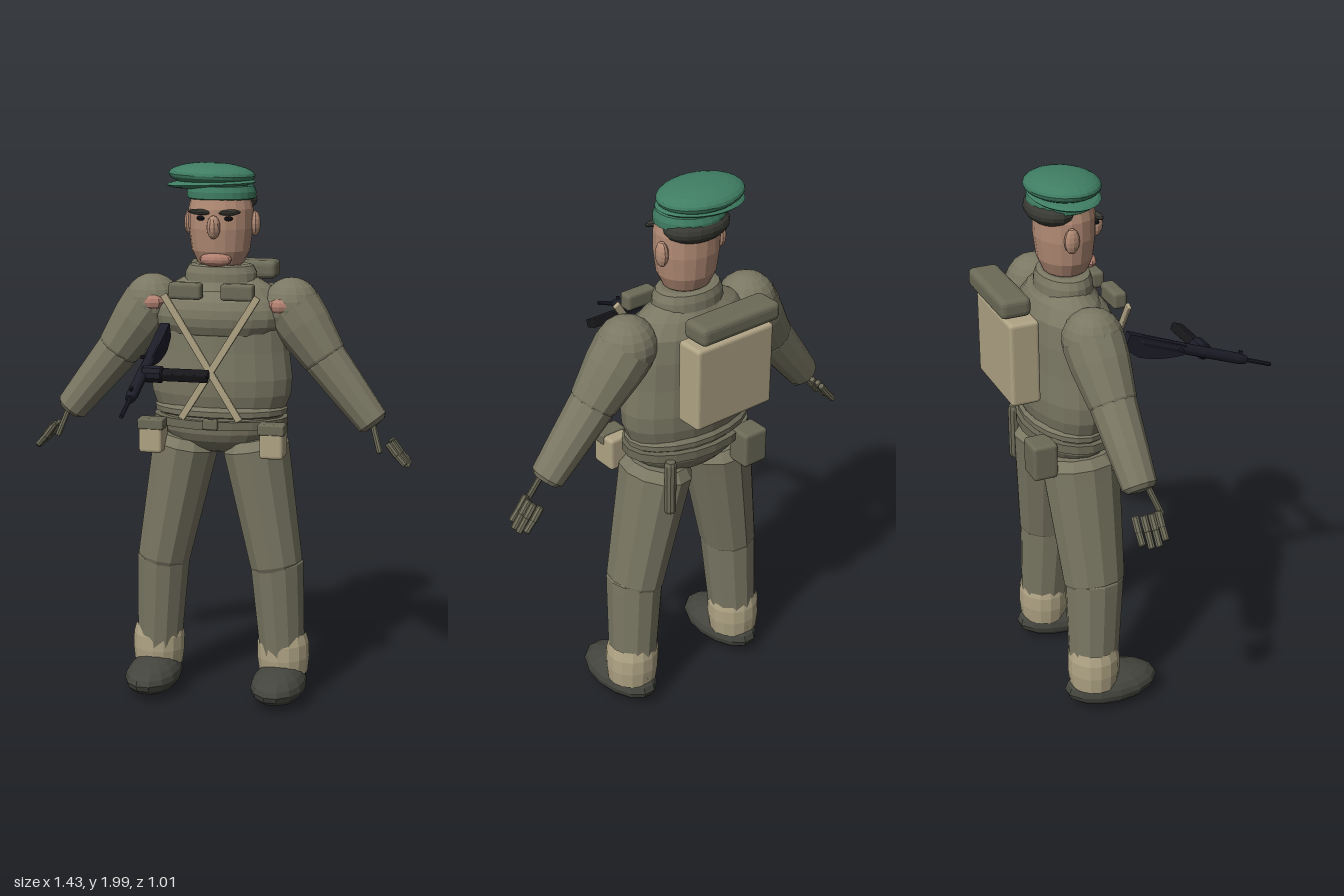
import * as THREE from 'three';
import { RoundedBoxGeometry } from 'three/addons/geometries/RoundedBoxGeometry.js';

const mat = (name, color) => {
  const m = new THREE.MeshStandardMaterial({ color, flatShading: true });
  m.name = name;
  return m;
};

export function createModel() {
  const root = new THREE.Group();
  root.name = 'soldier';
  const cloth = mat('olive cloth', 0x7a7763);
  const canvas = mat('dark olive canvas', 0x6c6a57);
  const beige = mat('beige webbing', 0xb0a485);
  const green = mat('green felt', 0x3f7d63);
  const skin = mat('skin', 0xb28b75);
  const lip = mat('pink skin', 0xb08070);
  const boot = mat('boot leather', 0x45453f);
  const dark = mat('dark hair', 0x3a3a35);
  const metal = mat('gun metal', 0x1d1d29);
  const black = mat('black', 0x17171b);

  const add = (name, geo, m, p = [0, 0, 0], parent = root) => {
    const mesh = new THREE.Mesh(geo, m);
    mesh.name = name;
    mesh.position.set(...p);
    parent.add(mesh);
    return mesh;
  };
  const ball = (name, m, p, r, w = 16, h = 12) =>
    add(name, new THREE.SphereGeometry(1, w, h).scale(...r), m, p);
  const box = (name, m, p, s, r = 0.012, parent = root) =>
    add(name, new RoundedBoxGeometry(...s, 2, r), m, p, parent);
  // Upright turned shape from [radius, height] pairs, flattened in depth
  const turned = (name, m, pts, depth, z, seg = 20) => {
    const g = new THREE.LatheGeometry(pts.map(q => new THREE.Vector2(...q)), seg);
    return add(name, g.scale(1, 1, depth), m, [0, 0, z]);
  };
  // Limb between two points from [radius, fraction of length] pairs
  const limb = (name, m, a, b, pts, seg = 12, parent = root) => {
    const A = new THREE.Vector3(...a), d = new THREE.Vector3(...b).sub(A);
    const len = d.length();
    const g = new THREE.LatheGeometry(pts.map(([r, t]) => new THREE.Vector2(r, t * len)), seg);
    const mesh = add(name, g, m, a, parent);
    mesh.quaternion.setFromUnitVectors(new THREE.Vector3(0, 1, 0), d.normalize());
    return mesh;
  };
  const rod = (name, m, a, b, r, seg = 8, parent = root) =>
    limb(name, m, a, b, [[0, 0], [r * 0.8, 0], [r, 0.06], [r, 0.94], [r * 0.8, 1], [0, 1]], seg, parent);

  // Torso, chest, pelvis and collar
  turned('torso', cloth, [[0, 1.04], [0.22, 1.05], [0.24, 1.11], [0.262, 1.17], [0.267, 1.23], [0.255, 1.33],
    [0.25, 1.43], [0.235, 1.51], [0.19, 1.56], [0.12, 1.6], [0, 1.61]], 0.56, -0.225);
  ball('chest', cloth, [0, 1.455, -0.19], [0.245, 0.118, 0.125], 20);
  ball('pelvis', cloth, [0, 1.06, -0.22], [0.225, 0.12, 0.14], 20);
  turned('collar', cloth, [[0.16, 1.55], [0.135, 1.58], [0.132, 1.61], [0.12, 1.635], [0.1, 1.64], [0, 1.63]], 0.72, -0.22);
  turned('jacketHem', cloth, [[0.22, 1.085], [0.247, 1.095], [0.25, 1.115], [0.235, 1.13]], 0.6, -0.225);

  // Belt with buckle
  turned('belt', canvas, [[0.22, 1.052], [0.252, 1.052], [0.252, 1.083], [0.22, 1.083]], 0.645, -0.22);
  box('buckle', canvas, [0, 1.075, -0.054], [0.055, 0.04, 0.02], 0.006);

  // Head
  turned('head', skin, [[0, 1.615], [0.05, 1.62], [0.085, 1.645], [0.106, 1.69], [0.117, 1.77], [0.117, 1.84],
    [0.1, 1.91], [0, 1.93]], 0.89, -0.213, 18);
  ball('nose', skin, [0, 1.78, -0.1], [0.025, 0.042, 0.027], 10, 8);
  ball('mouth', lip, [0, 1.662, -0.135], [0.06, 0.026, 0.03], 12, 8);
  ball('hair', dark, [0, 1.868, -0.262], [0.124, 0.055, 0.085]);

  // Peakless felt cap, leaning to one side
  turned('capBand', green, [[0.115, 1.872], [0.125, 1.877], [0.125, 1.9], [0.118, 1.92], [0, 1.93]], 0.9, -0.225, 24);
  ball('capFold', green, [-0.04, 1.926, -0.23], [0.165, 0.02, 0.117], 28, 8).rotation.z = 0.04;
  ball('capCrown', green, [-0.038, 1.957, -0.233], [0.158, 0.043, 0.125], 28, 14).rotation.z = -0.03;

  for (const s of [1, -1]) {
    // Face details
    ball('ear', skin, [s * 0.122, 1.785, -0.235], [0.02, 0.045, 0.027], 10, 8);
    ball('eye', black, [s * 0.05, 1.81, -0.119], [0.017, 0.009, 0.012], 8, 6);
    ball('eyebrow', dark, [s * 0.055, 1.832, -0.115], [0.042, 0.011, 0.016], 10, 6).rotation.z = s * 0.06;
    ball('shoulderPatch', lip, [s * 0.237, 1.5, -0.142], [0.043, 0.03, 0.03], 8, 6);

    // Arm: shoulder, sleeve and cuff
    const elbow = [s * 0.392, 1.305, -0.207];
    ball('shoulder', cloth, [s * 0.26, 1.49, -0.223], [0.106, 0.106, 0.105], 16, 12);
    limb('upperSleeve', cloth, [s * 0.265, 1.485, -0.223], elbow,
      [[0.106, 0], [0.102, 0.35], [0.083, 0.95], [0.07, 1.08], [0, 1.1]]);
    limb('foreSleeve', cloth, elbow, [s * 0.578, 1.075, -0.192],
      [[0, -0.15], [0.066, -0.13], [0.08, 0], [0.07, 0.5], [0.06, 0.95], [0.045, 1], [0, 1.02]]);

    // Thumb and four fingers
    rod('thumb', canvas, [s * 0.575, 1.08, -0.165], [s * 0.607, 0.985, -0.13], 0.011);
    for (let i = 0; i < 4; i++) {
      const z = -0.155 - i * 0.028, outer = i === 0 || i === 3;
      const k = outer ? 0.01 : 0, dx = outer ? -0.004 : 0.004;
      rod('fingerBase', canvas, [s * (0.635 + dx), 1.018, z], [s * (0.67 + dx), 0.972, z], 0.013);
      rod('fingerTip', canvas, [s * (0.664 + dx), 0.98, z], [s * (0.706 - k), 0.93 + k, z], 0.012);
    }

    // Leg: trouser thigh, shin, gaiter and boot
    limb('thigh', cloth, [s * 0.222, 0.5, -0.208], [s * 0.13, 0.99, -0.222],
      [[0, 0], [0.088, 0], [0.1, 0.06], [0.122, 0.85], [0.125, 0.95], [0.1, 1.02], [0, 1.03]]).geometry.scale(1, 1, 1.13);
    limb('shin', cloth, [s * 0.243, 0.12, -0.225], [s * 0.217, 0.55, -0.208],
      [[0, 0], [0.085, 0], [0.089, 0.3], [0.1, 0.88], [0.101, 0.96], [0.09, 1], [0, 1.01]]).geometry.scale(1, 1, 1.06);
    limb('gaiter', beige, [s * 0.245, 0.1, -0.225], [s * 0.241, 0.255, -0.224],
      [[0, 0], [0.088, 0], [0.095, 0.4], [0.094, 0.75], [0.085, 1]], 15).geometry.scale(1.04, 1, 1);
    const shoe = ball('boot', boot, [s * 0.243, 0.074, -0.156], [0.106, 0.07, 0.178], 14, 10);
    const pos = shoe.geometry.attributes.position;
    for (let i = 0; i < pos.count; i++) { // narrower heel, broad toe
      const t = pos.getZ(i) / 0.178;
      pos.setX(i, pos.getX(i) * (0.97 + 0.06 * t));
      pos.setY(i, pos.getY(i) * (pos.getY(i) > 0 ? 1 - 0.1 * t : 0.95));
    }

    // Front pouches, chest pockets and crossed strap
    box('beltPouch', beige, [s * 0.225, 1.019, -0.095], [0.086, 0.122, 0.1]);
    box('beltPouchLid', canvas, [s * 0.224, 1.066, -0.073], [0.098, 0.042, 0.06], 0.008);
    box('chestPocket', canvas, [s * 0.095, 1.555, -0.075], [0.12, 0.06, 0.05]);
    const strap = box('strap', beige, [s * 0.032, 1.317, -0.053], [0.026, 0.53, 0.014], 0.004);
    strap.rotation.z = -s * Math.atan2(0.28, 0.45);
  }

  // Pack with rolled cover
  box('pack', beige, [0, 1.39, -0.423], [0.322, 0.3, 0.105], 0.012);
  box('packRoll', canvas, [0, 1.597, -0.45], [0.328, 0.068, 0.108], 0.02);

  // Rear belt pouch and scabbard
  box('rearPouch', canvas, [-0.155, 1.025, -0.375], [0.1, 0.13, 0.09]);
  rod('scabbard', canvas, [0.172, 0.86, -0.35], [0.172, 1.065, -0.35], 0.021, 10);

  // Gun, built along its own +z and tipped downward
  const gun = new THREE.Group();
  gun.name = 'gun';
  gun.position.set(-0.166, 1.41, -0.03);
  gun.rotation.x = 0.362;
  root.add(gun);
  rod('receiver', metal, [0, 0, 0], [0, 0, 0.46], 0.02, 12, gun);
  rod('barrel', metal, [0, 0, 0.45], [0, 0, 0.57], 0.008, 8, gun);
  const butt = new THREE.Shape();
  butt.moveTo(0.03, 0.02);
  butt.lineTo(0.03, -0.035);
  butt.lineTo(-0.03, -0.056);
  butt.quadraticCurveTo(-0.12, -0.055, -0.2, -0.018);
  butt.lineTo(-0.2, 0.015);
  const stock = new THREE.ExtrudeGeometry(butt, { depth: 0.034, bevelEnabled: false });
  stock.translate(0, 0, -0.017).rotateY(Math.PI / 2);
  add('stock', stock, metal, [0, 0, 0], gun);
  rod('magazineHousing', metal, [0, 0, 0.29], [0.072, 0, 0.29], 0.03, 10, gun);
  box('magazine', black, [0.145, 0, 0.29], [0.175, 0.03, 0.044], 0.005, gun);
  rod('cockingHandle', metal, [0, 0, 0.18], [-0.037, 0, 0.18], 0.007, 8, gun);
  box('frontSight', metal, [0, 0.022, 0.43], [0.008, 0.016, 0.016], 0.002, gun);

  return root;
}
